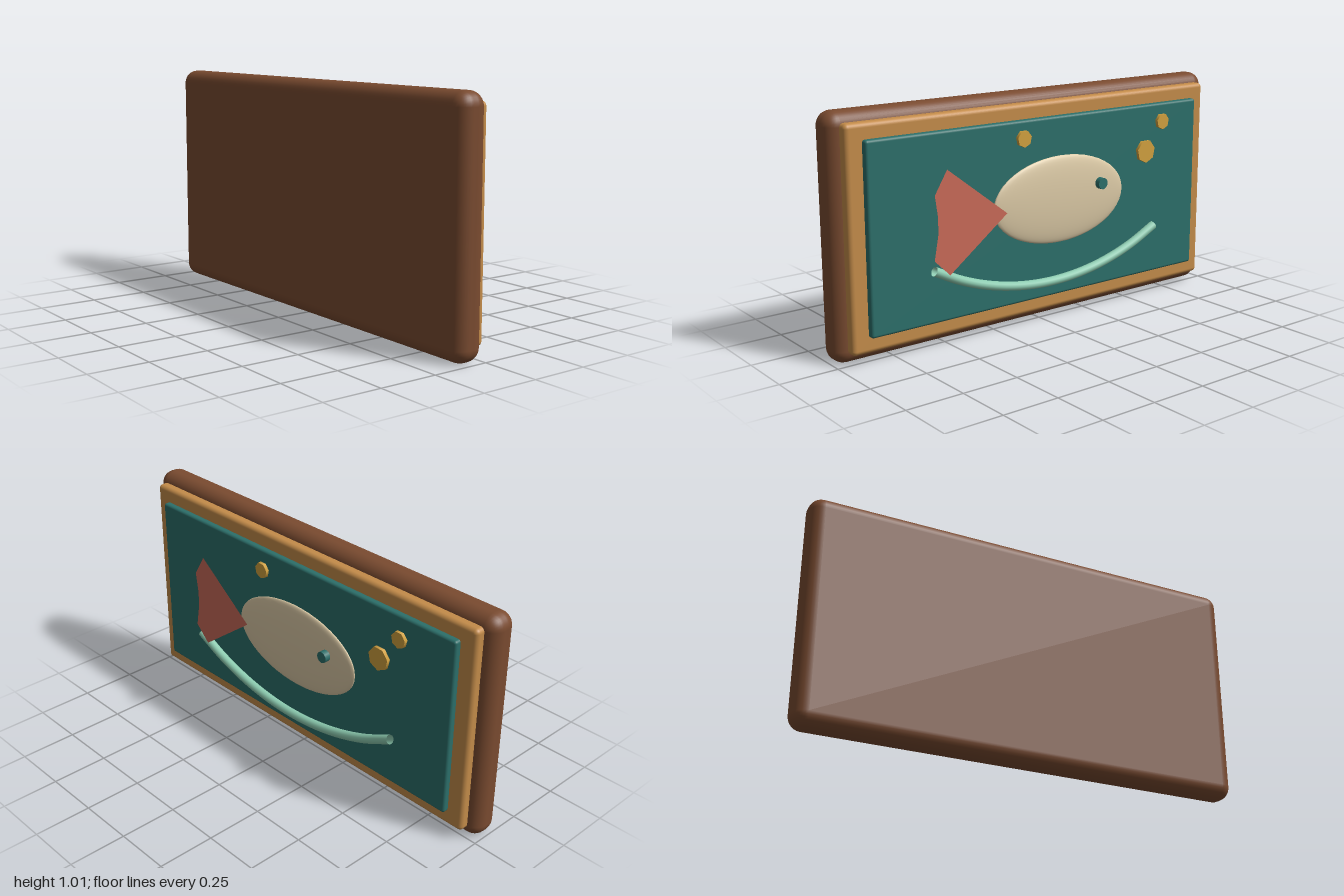
import * as THREE from 'three';
import { RoundedBoxGeometry } from 'three/addons/geometries/RoundedBoxGeometry.js';

const mat = (name, color, extra = {}) => {
  const m = new THREE.MeshStandardMaterial({ color, ...extra });
  m.name = name;
  return m;
};

export function createModel() {
  const group = new THREE.Group();
  const brown = mat('walnut', 0x7a4b30);
  const ochre = mat('ochre', 0xc48c4a);
  const teal = mat('teal', 0x2c6f6a);
  const cream = mat('cream', 0xdccaa6);
  const coral = mat('coral', 0xc96a58, { side: THREE.DoubleSide });
  const mint = mat('mint', 0x8ccbb0, { side: THREE.DoubleSide });
  const gold = mat('gold', 0xd2a13f);

  const add = (name, geometry, material, x = 0, y = 0, z = 0) => {
    const mesh = new THREE.Mesh(geometry, material);
    mesh.name = name;
    mesh.position.set(x, y, z);
    group.add(mesh);
    return mesh;
  };

  // Stacked rounded slabs; the decorated side faces -z
  const slab = (name, w, y0, y1, zFront, zBack, r, material) =>
    add(name, new RoundedBoxGeometry(w, y1 - y0, zFront - zBack, 4, r), material,
      0, (y0 + y1) / 2, (zFront + zBack) / 2);
  slab('outerSlab', 2, 0, 1.01, 0.138, 0.003, 0.058, brown);
  slab('innerFrame', 1.9, 0.045, 0.968, 0.025, -0.036, 0.02, ochre);
  slab('panel', 1.755, 0.113, 0.903, -0.02, -0.063, 0.012, teal);

  // Fish body: flattened ellipsoid
  add('fishBody', new THREE.SphereGeometry(1, 40, 24), cream, -0.045, 0.55, -0.091)
    .scale.set(0.353, 0.19, 0.027);

  // Flat tail fin with a notched rear edge
  const tail = new THREE.Shape([
    [0.25, 0.535], [0.543, 0.757], [0.603, 0.66], [0.59, 0.57],
    [0.59, 0.5], [0.61, 0.393], [0.537, 0.322],
  ].map(([x, y]) => new THREE.Vector2(x, y)));
  add('tailFin', new THREE.ShapeGeometry(tail), coral, 0, 0, -0.108);

  // Eye disc
  add('eye', new THREE.CylinderGeometry(0.025, 0.025, 0.03, 16), teal, -0.249, 0.596, -0.122)
    .rotation.x = Math.PI / 2;

  // Wave: shallow circular arc below the fish
  const R = 1.239, half = Math.asin(0.6 / R), points = [];
  for (let i = 0; i <= 8; i++) {
    const a = half * (i / 4 - 1);
    points.push(new THREE.Vector3(R * Math.sin(a), 0.19 + R * (1 - Math.cos(a)), -0.089));
  }
  add('wave', new THREE.TubeGeometry(new THREE.CatmullRomCurve3(points), 48, 0.02, 12), mint);

  // Bubbles: small faceted discs
  for (const [x, y, r] of [[0.155, 0.834, 0.036], [-0.532, 0.7, 0.052], [-0.632, 0.826, 0.036]]) {
    add('bubble', new THREE.CylinderGeometry(r, r, 0.015, 7), gold, x, y, -0.098)
      .rotation.x = Math.PI / 2;
  }
  return group;
}
